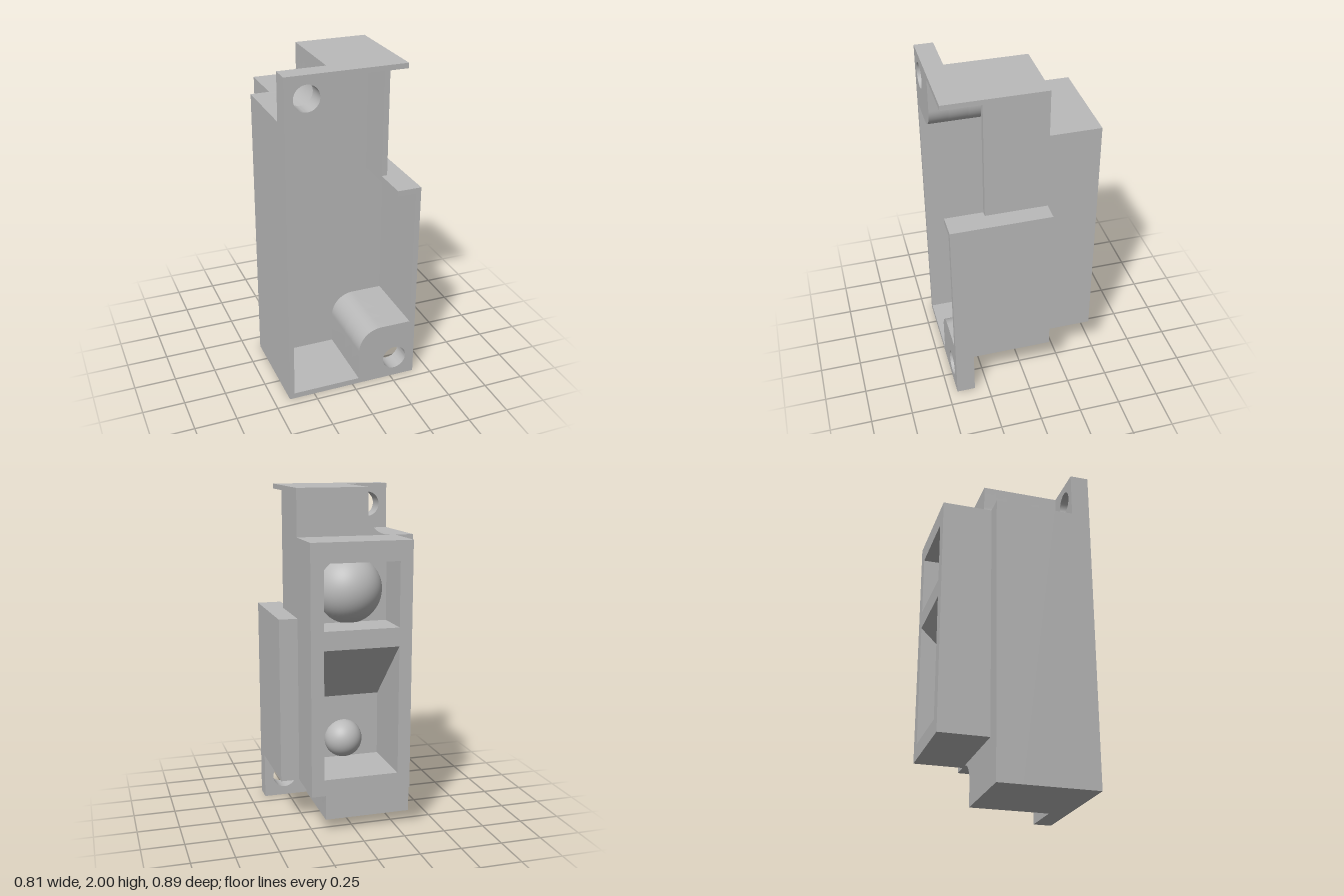
import * as THREE from 'three';
import { toCreasedNormals } from 'three/addons/utils/BufferGeometryUtils.js';

const grey = new THREE.MeshStandardMaterial({ color: 0xbababa });
grey.name = 'plain grey';

// points along an arc, angles in quarter turns
function arc(cx, cy, r, from, to, n = 20) {
  return Array.from({ length: n + 1 }, (_, i) => {
    const a = (from + ((to - from) * i) / n) * Math.PI / 2;
    return [cx + r * Math.cos(a), cy + r * Math.sin(a)];
  });
}
const rect = (x0, y0, x1, y1) => [[x0, y0], [x1, y0], [x1, y1], [x0, y1]];
const vectors = (pts) => pts.map(([x, y]) => new THREE.Vector2(x, y));

// flat outline with holes, extruded from z0 to z1
function layer(name, outline, holes, z0, z1) {
  const shape = new THREE.Shape(vectors(outline));
  for (const h of holes) shape.holes.push(new THREE.Path(vectors(h)));
  const geo = new THREE.ExtrudeGeometry(shape, { depth: z1 - z0, bevelEnabled: false });
  geo.translate(0, 0, z0);
  const mesh = new THREE.Mesh(toCreasedNormals(geo, 0.4), grey);
  mesh.name = name;
  return mesh;
}

// half sphere bulging to the back
function lens(name, r, y, z) {
  const geo = new THREE.SphereGeometry(r, 48, 24, 0, Math.PI * 2, 0, Math.PI / 2);
  geo.rotateX(-Math.PI / 2);
  const mesh = new THREE.Mesh(geo, grey);
  mesh.name = name;
  mesh.position.set(0, y, z);
  return mesh;
}

export function createModel() {
  const model = new THREE.Group();
  model.name = 'sensorHousing';

  // cavity, starting and ending at the slot in the upper side wall
  const cavity = [
    [0.26, 1.97], [-0.04, 1.97],
    ...arc(-0.18, 1.775, 0.14, 0, -1),
    [-0.375, 1.635], [-0.375, 0.035], [0.04, 0.035],
    ...arc(0.18, 0.23, 0.14, 2, 1),
    [0.37, 0.37], [0.37, 1.225], [0.26, 1.225],
  ];

  // outlines in two halves, so the slot can be opened between them
  const step = [[0.405, 1.26], [0.295, 1.26]];
  const fullLow = [[-0.405, 0], [0.405, 0]];
  const fullTop = [[0.295, 2], [-0.405, 2]];
  const cutLow = [[-0.405, 0], [0.13, 0], ...arc(0.26, 0.15, 0.13, 2, 1), [0.405, 0.28]];
  const cutTop = [[0.295, 2], [-0.13, 2], ...arc(-0.26, 1.855, 0.13, 0, -1), [-0.405, 1.725]];
  const body = [...cutLow, ...step, ...cutTop];
  const slotted = (low, top) => [
    ...low, [0.405, 1.26], [0.26, 1.26], ...[...cavity].reverse(), [0.295, 1.97], ...top,
  ];

  const upperWindow = rect(-0.22, 1.237, 0.22, 1.61);
  const lowerWindow = rect(-0.22, 0.376, 0.22, 1.128);
  const block = rect(-0.295, 0.28, 0.295, 1.725);
  const screwHoles = [arc(-0.28, 1.873, 0.075, 0, 4, 48), arc(0.275, 0.13, 0.075, 0, 4, 48)];

  model.add(
    // housing from front to back
    layer('frontRim', slotted(fullLow, fullTop), screwHoles, 0.333, 0.445),
    layer('slottedWalls', slotted(cutLow, cutTop), [], 0.22, 0.333),
    layer('rearWalls', body, [cavity], 0, 0.22),
    layer('cavityFloor', body, [], -0.07, 0),
    layer('bodyBack', body, [lowerWindow], -0.147, -0.07),
    // optics block on the back
    layer('blockBase', block, [lowerWindow], -0.21, -0.147),
    layer('blockFrame', block, [upperWindow, lowerWindow], -0.445, -0.21),
    lens('upperLens', 0.205, 1.423, -0.145),
    lens('lowerLens', 0.115, 0.493, -0.07),
  );

  // sloping roof of the lower window
  const wedge = new THREE.ExtrudeGeometry(
    new THREE.Shape(vectors([[0.445, 1.128], [0.07, 0.76], [0.07, 1.128]])),
    { depth: 0.44, bevelEnabled: false },
  );
  wedge.translate(0, 0, -0.22);
  wedge.rotateY(Math.PI / 2);
  const roof = new THREE.Mesh(wedge, grey);
  roof.name = 'windowSlope';
  model.add(roof);

  return model;
}
